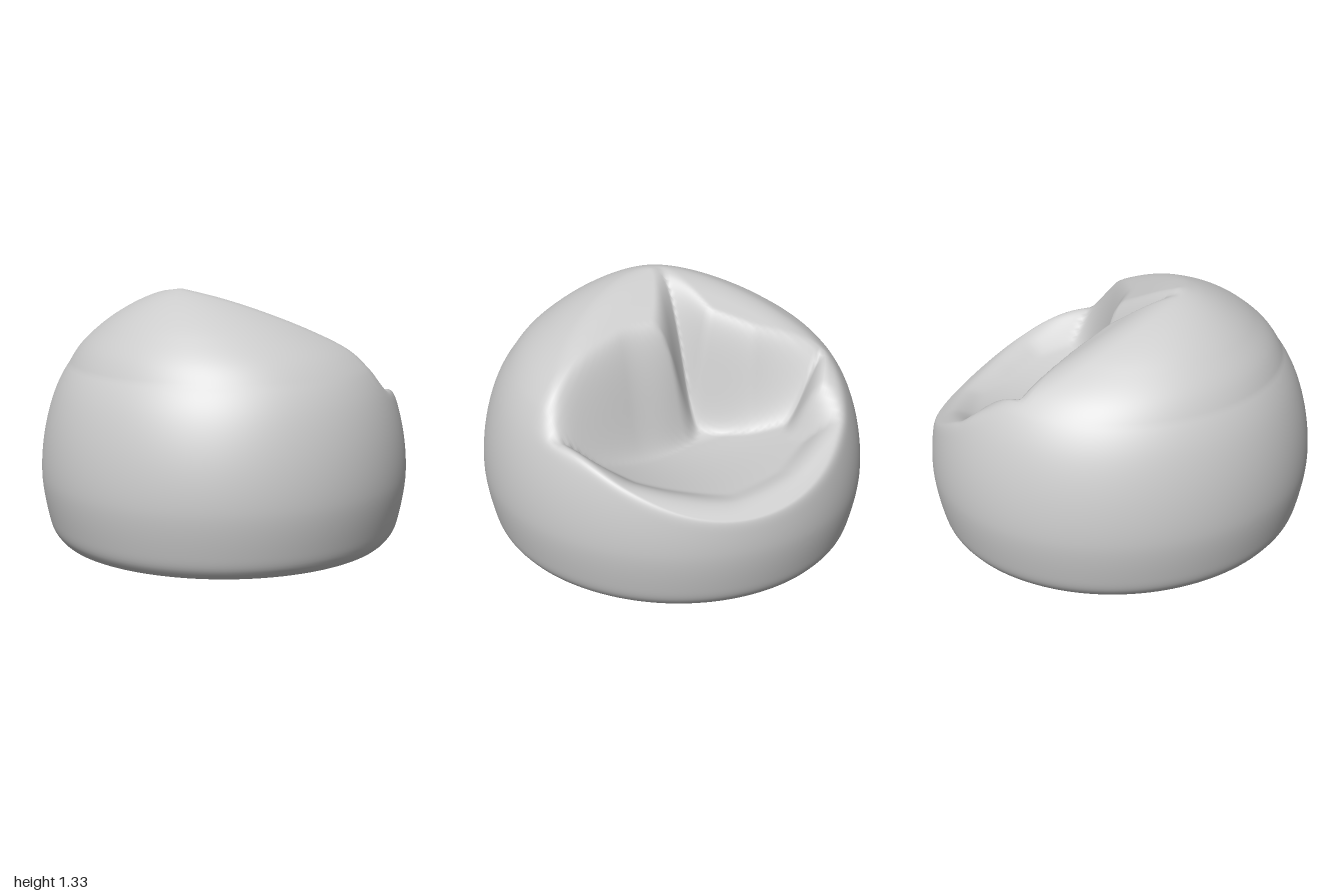
import * as THREE from 'three';
import { mergeVertices } from 'three/addons/utils/BufferGeometryUtils.js';

const { smoothstep, lerp } = THREE.MathUtils;

// Star-shaped outline of the sunken seat, seen from above (x, z)
const OUTLINE = [
  [-0.3, -0.06], [0.08, 0.05], [0.23, 0.4], [0.4, 0.8], [0.73, 0.5], [0.96, 0.0],
  [0.87, -0.36], [0.64, -0.68], [0.46, -0.63], [0.3, -0.72], [0.16, -0.4], [0.02, -0.19],
];

// Signed distance to the outline, positive inside
function insideDistance(x, z) {
  let d = Infinity, inside = false;
  OUTLINE.forEach(([ax, az], i) => {
    const [bx, bz] = OUTLINE[(i + 1) % OUTLINE.length];
    const ex = bx - ax, ez = bz - az;
    const t = THREE.MathUtils.clamp(((x - ax) * ex + (z - az) * ez) / (ex * ex + ez * ez), 0, 1);
    d = Math.min(d, Math.hypot(x - ax - ex * t, z - az - ez * t));
    if ((az > z) !== (bz > z) && x < ax + (ex * (z - az)) / ez) inside = !inside;
  });
  return inside ? d : -d;
}

// Rounded minimum of two heights
function softMin(a, b, k) {
  const h = Math.max(k - Math.abs(a - b), 0) / k;
  return Math.min(a, b) - (h * h * k) / 4;
}

// Seat floor: backrest falling into the pit, then an almost level cushion
function seatFloor(x, z) {
  const back = lerp(1.32, 0.53, smoothstep(x, -0.4, 0.23));
  return back + 0.04 * smoothstep(x, 0.3, 0.95) + 0.4 * z * z;
}

// Height of the upper cover: dome cut by a sloping curve, with the seat pressed in
function topHeight(x, y, z) {
  const u = x + 0.3;
  const cover = softMin(y, 1.345 - 0.5 * u - 0.11 * u * Math.max(u, 0), 0.05);
  const roll = 0.05 + 0.09 * Math.max(smoothstep(x, 0.4, 0.9), smoothstep(z, 0, 0.3));
  const sink = smoothstep(insideDistance(x, z), -roll, 0.16);
  return lerp(cover, softMin(cover, seatFloor(x, z), 0.04), sink);
}

// Crumpled folds of the underside
function baseHeight(x, z) {
  const a = Math.abs(Math.sin(4.2 * x + 0.9 * Math.sin(5 * z)));
  const b = Math.abs(Math.sin(3.6 * z - 1.1 * Math.sin(4 * x + 1)));
  return (0.02 + 0.06 * Math.min(a, b) + 0.02 * a) * (1 - smoothstep(Math.hypot(x, z), 0.6, 0.86));
}

export function createModel() {
  const group = new THREE.Group();
  group.name = 'beanBagChair';

  // Full round bag, from the middle of the base to its peak
  const profile = new THREE.SplineCurve([
    [0, 0], [0.3, 0], [0.6, 0], [0.86, 0], [0.925, 0.03], [0.965, 0.12], [1, 0.35], [0.975, 0.6],
    [0.9, 0.83], [0.78, 1.0], [0.6, 1.13], [0.4, 1.23], [0.2, 1.3], [0, 1.34],
  ].map(([r, y]) => new THREE.Vector2(r, y))).getSpacedPoints(160);
  profile[0].x = profile[160].x = 0;
  profile.forEach((p) => { p.x = Math.max(p.x, 0); p.y = Math.max(p.y, 0); });

  let geometry = new THREE.LatheGeometry(profile, 160);
  geometry.deleteAttribute('uv');
  geometry.deleteAttribute('normal');

  // Lean the peak back, make the plan slightly oval, then shape the top and base
  const pos = geometry.attributes.position;
  for (let i = 0; i < pos.count; i++) {
    const px = pos.getX(i), pz = pos.getZ(i);
    let y = pos.getY(i);
    const lean = 0.3 * (1 - Math.min(Math.hypot(px, pz) / 0.84, 1)) * smoothstep(y, 0.6, 0.9);
    const x = px - 0.028 * pz - lean;
    const z = pz - 0.028 * px;
    if (y > 0.4) y = topHeight(x, y, z);
    else if (y < 0.02) y += baseHeight(x, z);
    pos.setXYZ(i, x, y, z);
  }
  geometry = mergeVertices(geometry, 1e-5);
  geometry.computeVertexNormals();

  const bag = new THREE.Mesh(geometry, new THREE.MeshStandardMaterial({ color: 0xcccccc }));
  bag.name = 'bag';
  group.add(bag);
  return group;
}
